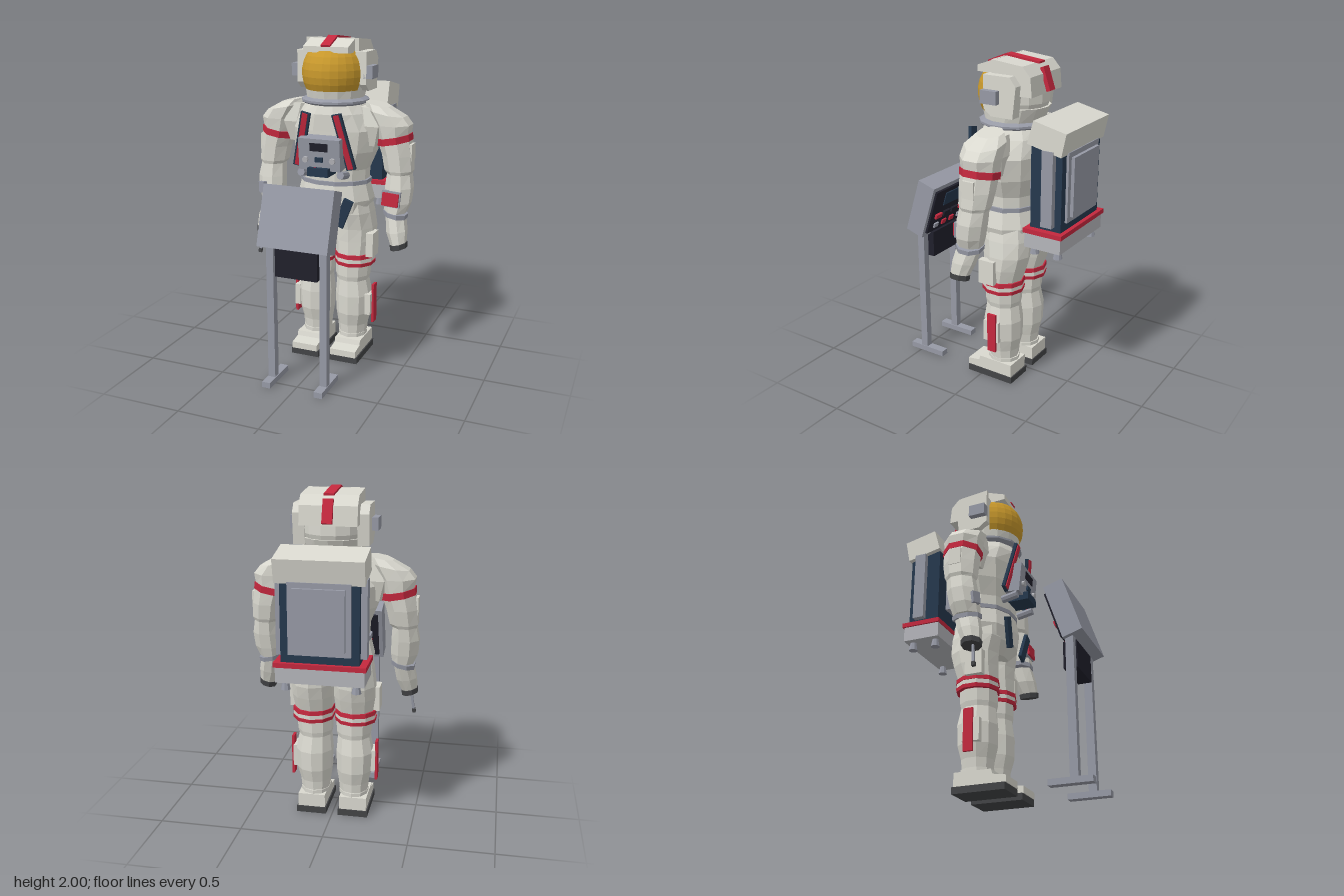
import * as THREE from 'three';

const mat = (name, color) => { const m = new THREE.MeshStandardMaterial({ color }); m.name = name; return m; };
const white = mat('suit white', 0xd9d8cf), red = mat('signal red', 0xc4283e), navy = mat('navy', 0x25384d);
const rubber = mat('rubber grey', 0x434446), gold = mat('gold visor', 0xc9992c), grey = mat('metal grey', 0x9699a5);
const black = mat('screen black', 0x20202b), pale = mat('pale panel', 0xb4b5ba);
gold.side = THREE.DoubleSide;

// Flat shaded mesh
function add(parent, name, geo, m, x = 0, y = 0, z = 0) {
  const g = geo.index ? geo.toNonIndexed() : geo;
  g.computeVertexNormals();
  const mesh = new THREE.Mesh(g, m);
  mesh.name = name;
  mesh.position.set(x, y, z);
  parent.add(mesh);
  return mesh;
}

// Box given by its min and max along each axis
function box(parent, name, m, [x0, x1], [y0, y1], [z0, z1]) {
  return add(parent, name, new THREE.BoxGeometry(x1 - x0, y1 - y0, z1 - z0), m,
    (x0 + x1) / 2, (y0 + y1) / 2, (z0 + z1) / 2);
}

// Flat bar between two points, w wide and t thick
function bar(parent, name, m, a, b, w, t) {
  const A = new THREE.Vector3(...a), B = new THREE.Vector3(...b), d = B.clone().sub(A);
  const c = A.clone().add(B).multiplyScalar(0.5);
  const mesh = add(parent, name, new THREE.BoxGeometry(w, d.length(), t), m, c.x, c.y, c.z);
  const up = d.normalize(), side = new THREE.Vector3(1, 0, 0).addScaledVector(up, -up.x).normalize();
  mesh.quaternion.setFromRotationMatrix(new THREE.Matrix4().makeBasis(side, up, side.clone().cross(up)));
  return mesh;
}

// Faceted tube through sections [x, y, z, rx, rz, slope], listed bottom to top
function loft(parent, name, m, sections, n = 10) {
  const pos = [], idx = [], k = 1 / Math.cos(Math.PI / n);
  for (const [x, y, z, rx, rz, slope = 0] of sections)
    for (let i = 0; i < n; i++) {
      const a = (i + 0.5) / n * Math.PI * 2, dx = Math.cos(a) * rx * k;
      pos.push(x + dx, y + dx * slope, z + Math.sin(a) * rz * k);
    }
  const last = (sections.length - 1) * n, c = sections.length * n;
  pos.push(...sections[0].slice(0, 3), ...sections.at(-1).slice(0, 3));
  for (let i = 0; i < n; i++) {
    const j = (i + 1) % n;
    for (let r = 0; r < last; r += n) idx.push(r + i, r + n + i, r + j, r + j, r + n + i, r + n + j);
    idx.push(c, i, j, c + 1, last + j, last + i);
  }
  const g = new THREE.BufferGeometry();
  g.setAttribute('position', new THREE.Float32BufferAttribute(pos, 3));
  g.setIndex(idx);
  return add(parent, name, g, m);
}

// Side profile of [z, y] points extruded across x0..x1
function profile(parent, name, m, pts, x0, x1) {
  const s = new THREE.Shape(pts.map(([z, y]) => new THREE.Vector2(-z, y)));
  const g = new THREE.ExtrudeGeometry(s, { depth: x1 - x0, bevelEnabled: false });
  g.rotateY(Math.PI / 2).translate(x0, 0, 0);
  return add(parent, name, g, m);
}

const span = (s, a, b) => s > 0 ? [a, b] : [-b, -a];
function group(parent, name) { const g = new THREE.Group(); g.name = name; parent.add(g); return g; }

function buildLeg(root, s) {
  const leg = group(root, s > 0 ? 'leftLeg' : 'rightLeg');
  const part = (name, m, secs) => loft(leg, name, m, secs.map(([x, ...r]) => [x * s, ...r]));
  box(leg, 'sole', rubber, span(s, 0.037, 0.22), [0, 0.04], [-0.222, 0.095]);
  const [b0, b1] = span(s, 0.045, 0.212);
  profile(leg, 'boot', white, [[0.1, 0.04], [0.1, 0.08], [0.02, 0.092], [0.01, 0.122], [-0.215, 0.122], [-0.215, 0.04]], b0, b1);
  part('shin', white, [[0.12, 0.12, -0.11, 0.082, 0.085], [0.12, 0.2, -0.11, 0.09, 0.092], [0.125, 0.28, -0.11, 0.106, 0.112],
    [0.126, 0.4, -0.11, 0.11, 0.115], [0.12, 0.5, -0.107, 0.096, 0.1], [0.12, 0.53, -0.107, 0.103, 0.106], [0.122, 0.61, -0.108, 0.106, 0.108]]);
  part('ankleCuff', white, [[0.12, 0.12, -0.11, 0.086, 0.095], [0.12, 0.145, -0.11, 0.086, 0.095]]);
  part('lowerKneeBand', red, [[0.13, 0.602, -0.11, 0.12, 0.122], [0.13, 0.624, -0.11, 0.122, 0.124]]);
  part('kneeBand', white, [[0.13, 0.624, -0.11, 0.118, 0.12], [0.13, 0.65, -0.11, 0.118, 0.12]]);
  part('upperKneeBand', red, [[0.13, 0.65, -0.11, 0.122, 0.124], [0.13, 0.676, -0.11, 0.12, 0.122]]);
  part('thigh', white, [[0.126, 0.676, -0.11, 0.112, 0.115], [0.128, 0.76, -0.125, 0.122, 0.128], [0.128, 0.84, -0.135, 0.122, 0.14],
    [0.125, 0.94, -0.125, 0.112, 0.15], [0.12, 1.02, -0.12, 0.1, 0.14]]);
  box(leg, 'thighPocket', white, span(s, 0.23, 0.275), [0.67, 0.82], [-0.13, -0.025]);
  box(leg, 'shinPlate', white, span(s, 0.22, 0.255), [0.28, 0.415], [-0.15, -0.045]);
  box(leg, 'shinStripe', red, span(s, 0.252, 0.267), [0.22, 0.47], [-0.137, -0.08]);
}

function buildArm(root, s) {
  const arm = group(root, s > 0 ? 'leftArm' : 'rightArm');
  const part = (name, m, secs) => loft(arm, name, m, secs.map(([x, y, z, rx, rz, sl = 0]) => [x * s, y, z, rx, rz, sl * s]), 8);
  part('fingertips', rubber, [[0.445, 0.758, -0.01, 0.046, 0.056, 0.25], [0.442, 0.79, -0.012, 0.048, 0.058, 0.25]]);
  part('glove', white, [[0.442, 0.79, -0.012, 0.044, 0.054, 0.25], [0.425, 0.86, -0.03, 0.058, 0.066, 0.15], [0.408, 0.95, -0.055, 0.055, 0.07, 0.1]]);
  part('wristRing', grey, [[0.405, 0.945, -0.058, 0.066, 0.08, -0.2], [0.405, 0.972, -0.06, 0.068, 0.082, -0.2]]);
  part('forearm', white, [[0.405, 0.97, -0.06, 0.062, 0.075], [0.413, 1.03, -0.07, 0.078, 0.082], [0.418, 1.12, -0.085, 0.08, 0.085],
    [0.414, 1.2, -0.098, 0.07, 0.082], [0.41, 1.22, -0.1, 0.082, 0.09], [0.398, 1.31, -0.108, 0.088, 0.1], [0.38, 1.39, -0.11, 0.092, 0.104, 0.2]]);
  part('armBand', red, [[0.376, 1.38, -0.11, 0.099, 0.11, 0.19], [0.372, 1.42, -0.11, 0.099, 0.112, 0.19]]);
  part('shoulder', white, [[0.372, 1.415, -0.11, 0.092, 0.104, 0.19], [0.362, 1.49, -0.11, 0.11, 0.112], [0.32, 1.56, -0.11, 0.115, 0.11, -0.2],
    [0.27, 1.605, -0.11, 0.07, 0.075, -0.2]]);
  part('shoulderJoint', white, [[0.25, 1.36, -0.11, 0.05, 0.07], [0.26, 1.48, -0.11, 0.1, 0.1], [0.23, 1.59, -0.11, 0.08, 0.08]]);
  box(arm, 'sleevePatch', white, span(s, 0.42, 0.492), [1.28, 1.38], [-0.145, -0.07]);
  return arm;
}

function buildHelmet(root) {
  const h = group(root, 'helmet');
  const shell = new THREE.SphereGeometry(1, 14, 9).scale(0.19, 0.2, 0.208);
  add(h, 'helmetShell', shell, white, 0, 1.78, -0.105);
  loft(h, 'helmetBase', white, [[0, 1.63, -0.1, 0.17, 0.17], [0, 1.72, -0.11, 0.183, 0.2]], 14);
  const visor = new THREE.SphereGeometry(1, 10, 6, 0.36, Math.PI - 0.72, 0.85, 1.2).scale(0.198, 0.205, 0.218);
  add(h, 'visor', visor, gold, 0, 1.78, -0.1);
  profile(h, 'crown', white, [[-0.05, 1.985], [-0.25, 1.965], [-0.3, 1.91], [-0.31, 1.8], [-0.05, 1.8]], -0.165, 0.165);
  profile(h, 'brim', white, [[0.06, 1.94], [-0.06, 1.985], [-0.06, 1.9], [0.06, 1.905]], -0.14, 0.14);
  for (const s of [1, -1]) {
    profile(h, 'sideGuard', white, [[-0.03, 1.91], [-0.2, 1.91], [-0.24, 1.86], [-0.22, 1.68], [-0.08, 1.68], [-0.03, 1.72]], ...span(s, 0.15, 0.218));
    box(h, 'earLamp', grey, span(s, 0.2, 0.255), [1.755, 1.83], [-0.135, -0.03]);
  }
  // Red centre stripe
  bar(h, 'frontStripe', red, [0, 1.943, 0.062], [0, 1.992, -0.058], 0.058, 0.012);
  bar(h, 'topStripe', red, [0, 1.992, -0.056], [0, 1.968, -0.275], 0.058, 0.012);
  bar(h, 'backStripe', red, [0, 1.945, -0.29], [0, 1.815, -0.335], 0.058, 0.024);
  loft(h, 'neckRing', grey, [[0, 1.6, -0.1, 0.18, 0.18], [0, 1.612, -0.1, 0.2, 0.2], [0, 1.625, -0.1, 0.2, 0.2], [0, 1.64, -0.1, 0.17, 0.17]], 14);
}

function buildTorso(root) {
  const t = group(root, 'torso');
  loft(t, 'hips', white, [[0, 0.86, -0.12, 0.13, 0.13], [0, 0.93, -0.115, 0.21, 0.18], [0, 1.02, -0.115, 0.235, 0.188], [0, 1.13, -0.11, 0.208, 0.165]], 12);
  loft(t, 'waistRing', grey, [[0, 1.12, -0.11, 0.218, 0.172], [0, 1.145, -0.11, 0.218, 0.172]], 12);
  loft(t, 'chest', white, [[0, 1.14, -0.11, 0.205, 0.162], [0, 1.21, -0.11, 0.208, 0.165], [0, 1.32, -0.117, 0.252, 0.192],
    [0, 1.45, -0.12, 0.272, 0.2], [0, 1.55, -0.11, 0.215, 0.195], [0, 1.61, -0.1, 0.165, 0.165]], 12);
  for (const s of [1, -1]) {
    bar(t, 'harnessStrap', navy, [s * 0.172, 1.235, 0.075], [s * 0.095, 1.565, 0.128], 0.058, 0.02);
    bar(t, 'strapStripe', red, [s * 0.17, 1.24, 0.088], [s * 0.096, 1.56, 0.14], 0.034, 0.008);
    bar(t, 'hipStrap', navy, [s * 0.09, 0.88, 0.075], [s * 0.16, 1.05, 0.088], 0.06, 0.02);
  }
  // Chest control unit
  const unit = group(t, 'controlUnit');
  unit.position.set(0, 1.33, 0.115);
  unit.rotation.x = 0.1;
  box(unit, 'unitCase', grey, [-0.13, 0.13], [-0.095, 0.095], [-0.05, 0.045]);
  box(unit, 'unitScreen', black, [-0.056, 0.056], [0.022, 0.07], [0.043, 0.05]);
  box(unit, 'unitButton', navy, [-0.024, 0.024], [-0.042, -0.014], [0.043, 0.056]);
  box(unit, 'unitLight', red, [-0.04, -0.02], [-0.09, -0.075], [0.043, 0.052]);
  for (const s of [1, -1])
    add(unit, 'unitDial', new THREE.CylinderGeometry(0.018, 0.018, 0.02, 8).rotateX(Math.PI / 2), pale, s * 0.085, -0.03, 0.052);
  box(t, 'unitConnector', navy, [-0.065, 0.065], [1.2, 1.25], [0.05, 0.185]);
  for (const s of [1, -1])
    add(t, 'hoseConnector', new THREE.CylinderGeometry(0.024, 0.024, 0.1, 8).rotateX(Math.PI / 2 - 0.2), grey, s * 0.125, 1.2, 0.09);
}

function buildBackpack(root) {
  const p = group(root, 'backpack');
  box(p, 'packBody', navy, [-0.22, 0.22], [1.07, 1.58], [-0.54, -0.345]);
  box(p, 'backPlate', grey, [-0.175, 0.175], [1.13, 1.535], [-0.555, -0.53]);
  box(p, 'backPanel', grey, [-0.145, 0.145], [1.16, 1.505], [-0.575, -0.55]);
  box(p, 'redRim', red, [-0.26, 0.26], [1.055, 1.082], [-0.565, -0.32]);
  box(p, 'packBase', pale, [-0.25, 0.25], [0.965, 1.055], [-0.555, -0.325]);
  profile(p, 'packCover', white, [[-0.372, 1.705], [-0.575, 1.66], [-0.547, 1.525], [-0.335, 1.572]], -0.25, 0.25);
  box(p, 'mountPlate', grey, [-0.12, 0.12], [1.2, 1.5], [-0.35, -0.28]);
  for (const s of [1, -1]) {
    box(p, 'sideRail', grey, span(s, 0.21, 0.255), [1.11, 1.55], [-0.5, -0.43]);
    for (const z of [-0.365, -0.515])
      add(p, 'nozzle', new THREE.CylinderGeometry(0.018, 0.028, 0.05, 8), grey, s * 0.2, 0.942, z);
  }
}

function buildConsole(root) {
  const c = group(root, 'console');
  for (const s of [1, -1]) {
    box(c, 'post', grey, span(s, 0.143, 0.187), [0.03, 0.86], [0.45, 0.497]);
    box(c, 'foot', grey, span(s, 0.138, 0.19), [0, 0.035], [0.327, 0.577]);
  }
  box(c, 'lowerBox', black, [-0.13, 0.13], [0.675, 0.84], [0.417, 0.5]);
  // Tilted desk with its controls towards the figure
  const d = group(c, 'desk');
  d.position.set(0, 1.016, 0.447);
  d.rotation.x = -0.31;
  box(d, 'deskCase', grey, [-0.215, 0.215], [-0.178, 0.178], [-0.061, 0.061]);
  box(d, 'deskPanel', black, [-0.19, 0.19], [-0.15, 0.15], [-0.075, -0.058]);
  box(d, 'deskScreen', navy, [-0.09, 0.09], [0.03, 0.12], [-0.081, -0.073]);
  for (let i = 0; i < 4; i++) {
    box(d, 'deskKey', i % 3 ? black : red, [-0.15 + i * 0.08, -0.09 + i * 0.08], [-0.05, -0.02], [-0.09, -0.073]);
    box(d, 'deskSwitch', i % 3 ? red : grey, [-0.14 + i * 0.08, -0.1 + i * 0.08], [-0.12, -0.09], [-0.085, -0.073]);
  }
}

export function createModel() {
  const root = new THREE.Group();
  root.name = 'astronautWithConsole';
  for (const s of [1, -1]) buildLeg(root, s);
  buildTorso(root);
  buildHelmet(root);
  buildBackpack(root);
  buildConsole(root);
  // Left cuff display, right cuff plate and pen
  const left = buildArm(root, 1), right = buildArm(root, -1);
  bar(left, 'cuffMount', grey, [0.392, 1.015, 0.008], [0.398, 1.11, 0.002], 0.115, 0.025);
  bar(left, 'cuffDisplay', red, [0.392, 1.022, 0.022], [0.398, 1.1, 0.016], 0.1, 0.022);
  bar(right, 'cuffPlate', grey, [-0.442, 1.02, 0.01], [-0.447, 1.09, 0.005], 0.05, 0.03).rotateY(-0.5);
  bar(right, 'pen', grey, [-0.468, 0.635, 0.015], [-0.448, 0.78, 0], 0.014, 0.014);
  bar(right, 'penTip', rubber, [-0.47, 0.625, 0.016], [-0.467, 0.65, 0.014], 0.02, 0.02);
  return root;
}
